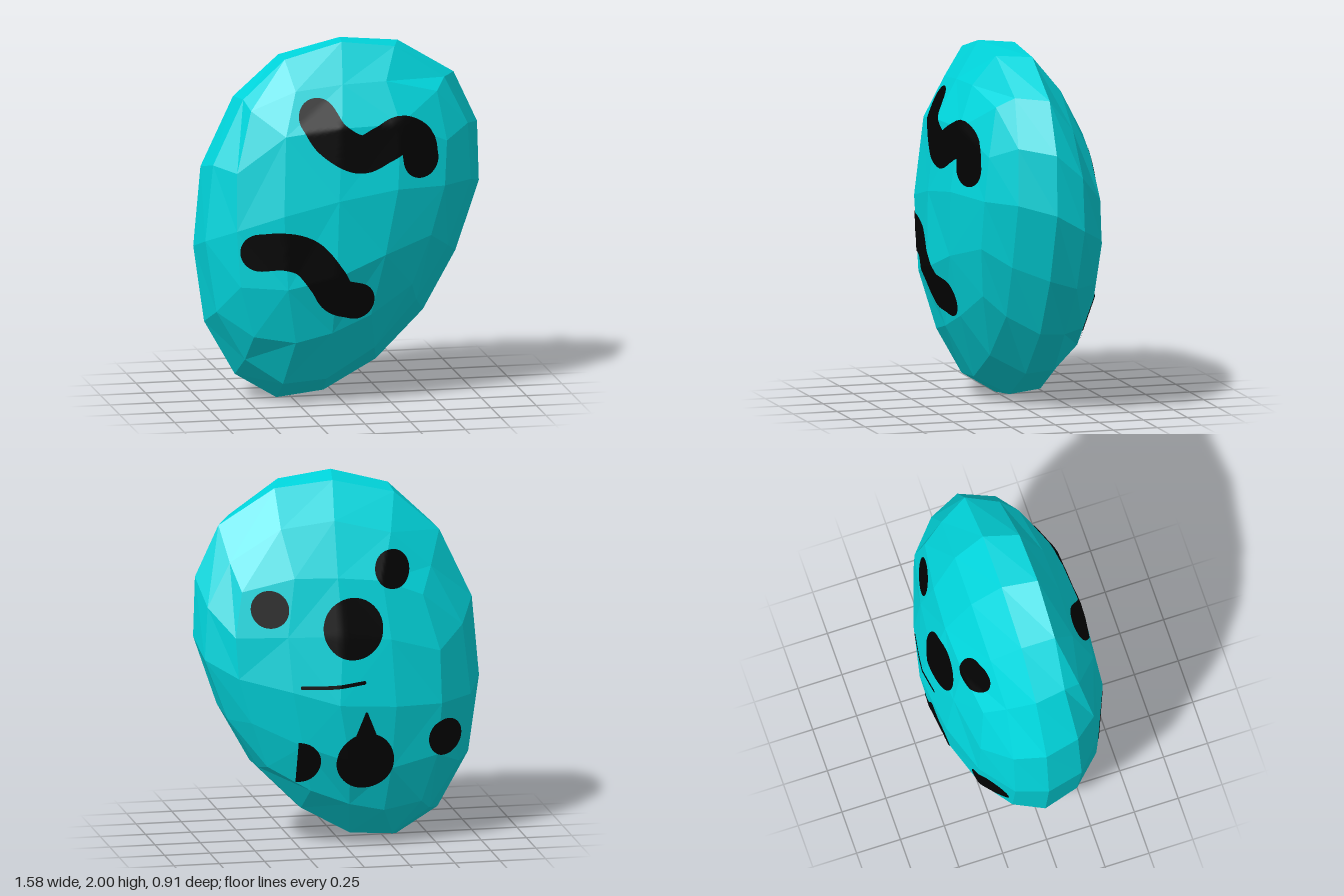
import * as THREE from 'three';

// Leaning egg outline, clockwise from the top as seen from the front (relative to the centre)
const OUTLINE = [
  [0.02, 0.98], [0.34, 0.95], [0.65, 0.76], [0.78, 0.48], [0.79, 0.15], [0.66, -0.23], [0.48, -0.55], [0.22, -0.81],
  [-0.07, -0.97], [-0.33, -1], [-0.56, -0.86], [-0.73, -0.56], [-0.79, -0.14], [-0.75, 0.3], [-0.57, 0.68], [-0.32, 0.9],
];

// One loop of the shell: centre, scale and depth; bulge and lift act at [edge middle, quarter, corner],
// tilt leans the loop in depth from bottom to top
function ring(cx, cy, sx, sy, z, bulge, lift, tilt = 0) {
  return OUTLINE.map(([x, y], i) => {
    const k = [0, 1, 2, 1][i % 4];
    return new THREE.Vector3(cx + x * sx * bulge[k], cy + y * sy * bulge[k], z * lift[k] + tilt * y);
  });
}

// Faceted shell: five side loops closed by a quad-grid cap at the front and the back
function shellTriangles() {
  const edgeB = [1, 1.04, 1.155], edgeL = [1, 0.96, 0.82];
  const sideB = [1, 0.99, 0.98], sideL = [1, 0.97, 0.87];
  const capB = [1, 1, 1.3];
  const rings = [
    ring(-0.045, 1.1, 0.73, 0.7, 0.335, edgeB, edgeL, -0.022),
    ring(-0.03, 1.06, 0.93, 0.955, 0.195, sideB, sideL),
    ring(0, 1, 1, 1, 0, [1, 1, 1], [1, 1, 1]),
    ring(0.025, 0.92, 0.93, 0.89, -0.165, sideB, sideL),
    ring(0.04, 0.875, 0.71, 0.645, -0.31, edgeB, edgeL),
  ];
  const caps = [
    { rim: rings[0], inner: ring(-0.065, 1.155, 0.4, 0.42, 0.44, capB, [1, 1, 0.93], -0.02), tip: new THREE.Vector3(-0.08, 1.17, 0.46) },
    { rim: rings[4], inner: ring(0.035, 0.85, 0.36, 0.355, -0.403, capB, [1, 1, 0.91], 0.013), tip: new THREE.Vector3(0.07, 0.83, -0.45) },
  ];
  const triangles = [];
  const middle = new THREE.Vector3(0, 1, 0);
  const tri = (a, b, c) => {
    const t = new THREE.Triangle(a, b, c);
    const out = t.getMidpoint(new THREE.Vector3()).sub(middle);
    triangles.push(t.getNormal(new THREE.Vector3()).dot(out) > 0 ? [a, b, c] : [a, c, b]);
  };
  const quad = (a, b, c, d) => { tri(a, b, c); tri(a, c, d); };

  for (let r = 0; r < 4; r++) {
    for (let i = 0; i < 16; i++) {
      const j = (i + 1) % 16;
      quad(rings[r][i], rings[r][j], rings[r + 1][j], rings[r + 1][i]);
    }
  }
  for (const { rim, inner, tip } of caps) {
    for (let i = 2; i < 16; i += 4) {
      const at = (list, k) => list[(i + k + 16) % 16];
      quad(inner[i], at(rim, -1), rim[i], at(rim, 1));
      quad(inner[i], at(rim, 1), at(rim, 2), at(inner, 2));
      quad(inner[i], at(inner, -2), at(rim, -2), at(rim, -1));
      quad(tip, at(inner, -2), inner[i], at(inner, 2));
    }
  }
  return triangles;
}

// Depth of the shell surface at x, y on the front (side 1) or back (side -1)
function surfaceZ(triangles, x, y, side) {
  let best = 0;
  for (const [a, b, c] of triangles) {
    const d = (b.y - c.y) * (a.x - c.x) + (c.x - b.x) * (a.y - c.y);
    if (Math.abs(d) < 1e-9) continue;
    const u = ((b.y - c.y) * (x - c.x) + (c.x - b.x) * (y - c.y)) / d;
    const v = ((c.y - a.y) * (x - c.x) + (a.x - c.x) * (y - c.y)) / d;
    if (u < -1e-6 || v < -1e-6 || u + v > 1 + 1e-6) continue;
    const z = u * a.z + v * b.z + (1 - u - v) * c.z;
    if (z * side > best * side) best = z;
  }
  return best + side * 0.005;
}

// Round-ended painted stroke laid on the shell; radius may taper from r0 to r1
function strokeGeometry(triangles, side, points, r0, r1 = r0, maxX = 9) {
  const curve = new THREE.CatmullRomCurve3(points.map(([x, y]) => new THREE.Vector3(x, y, 0)));
  const stations = [];
  const CAP = 10, BODY = points.length > 2 ? 40 : 12, ACROSS = 12;
  for (let i = 0; i <= CAP; i++) stations.push([0, -Math.cos((i / CAP) * Math.PI / 2), r0]);
  for (let i = 1; i < BODY; i++) stations.push([i / BODY, 0, r0 + (r1 - r0) * i / BODY]);
  for (let i = 0; i <= CAP; i++) stations.push([1, Math.sin((i / CAP) * Math.PI / 2), r1]);
  const position = [], index = [];
  stations.forEach(([t, along, r], s) => {
    const p = curve.getPointAt(t), d = curve.getTangentAt(t);
    const half = r * Math.sqrt(Math.max(0, 1 - along * along));
    for (let k = 0; k <= ACROSS; k++) {
      const w = half * (2 * k / ACROSS - 1);
      const x = Math.min(maxX, p.x + d.x * along * r - d.y * w);
      const y = p.y + d.y * along * r + d.x * w;
      position.push(x, y, surfaceZ(triangles, x, y, side));
      if (s && k) {
        const n = s * (ACROSS + 1) + k, m = n - ACROSS - 1;
        if (side > 0) index.push(m - 1, n - 1, n, m - 1, n, m);
        else index.push(m - 1, n, n - 1, m - 1, m, n);
      }
    }
  });
  const g = new THREE.BufferGeometry();
  g.setAttribute('position', new THREE.Float32BufferAttribute(position, 3));
  g.setIndex(index);
  g.computeVertexNormals();
  return g;
}

export function createModel() {
  const group = new THREE.Group();
  group.name = 'faceMask';
  const teal = new THREE.MeshStandardMaterial({ color: 0x00d7de, flatShading: true });
  teal.name = 'teal';
  const black = new THREE.MeshStandardMaterial({ color: 0x020202, side: THREE.DoubleSide });
  black.name = 'black';

  // Shell
  const triangles = shellTriangles();
  const shell = new THREE.BufferGeometry().setFromPoints(triangles.flat());
  shell.computeVertexNormals();
  const body = new THREE.Mesh(shell, teal);
  body.name = 'shell';
  group.add(body);

  const paint = (name, ...args) => {
    const mesh = new THREE.Mesh(strokeGeometry(triangles, ...args), black);
    mesh.name = name;
    group.add(mesh);
  };
  const dot = (name, x, y, r, maxX) => paint(name, -1, [[x - 0.002, y], [x + 0.002, y]], r, r, maxX);

  // Wavy strokes on the front
  paint('upperWave', 1, [[-0.18, 1.62], [-0.11, 1.51], [0.05, 1.42], [0.18, 1.47], [0.28, 1.51], [0.37, 1.46], [0.39, 1.37]], 0.104);
  paint('lowerWave', 1, [[-0.5, 0.89], [-0.37, 0.9], [-0.25, 0.86], [-0.14, 0.73], [-0.08, 0.64], [0.03, 0.6]], 0.104);

  // Spots on the back
  dot('leftEye', 0.43, 1.35, 0.1);
  dot('rightEye', -0.26, 1.53, 0.1);
  dot('nose', -0.02, 1.235, 0.165);
  paint('mouth', -1, [[0.27, 0.93], [0.1, 0.93], [-0.07, 0.945]], 0.01);
  dot('lowerMiddleSpot', -0.08, 0.505, 0.158);
  paint('lowerMiddleTail', -1, [[-0.08, 0.775], [-0.08, 0.55]], 0.008, 0.1);
  dot('lowerLeftSpot', 0.28, 0.5, 0.118, 0.285);
  dot('lowerRightSpot', -0.55, 0.59, 0.102);
  return group;
}
